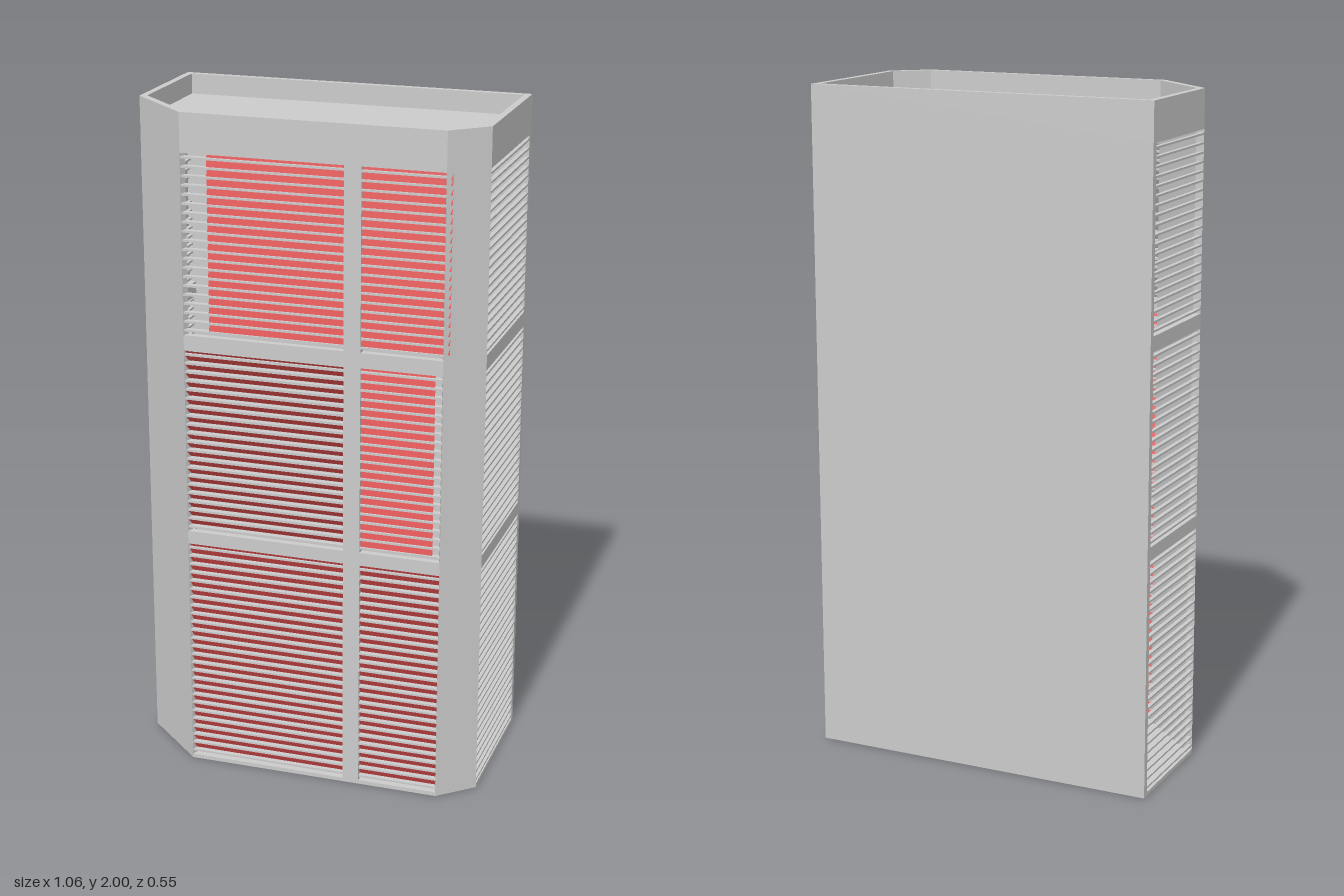
import * as THREE from 'three';

const grey = new THREE.MeshStandardMaterial({ color: 0xcccccc, flatShading: true });
const red = new THREE.MeshStandardMaterial({ color: 0xdd4c4c, flatShading: true, side: THREE.DoubleSide });

// Footprint corners as [x, z]: back right, side right, front right, front left, side left, back left
const plan = [[-0.53, -0.275], [-0.53, 0.1], [-0.34, 0.275], [0.43, 0.275], [0.53, 0.185], [0.53, -0.275]];
const inner = [[-0.51, -0.255], [-0.51, 0.09], [-0.332, 0.255], [0.422, 0.255], [0.51, 0.176], [0.51, -0.255]];
const bays = [[0.012, 0.71], [0.75, 1.31], [1.355, 1.885]];
const pitch = 0.0265;

// Horizontal prism from a plan outline, with an optional hole
function prism(outline, hole, y0, y1) {
  const points = (list) => list.map(([x, z]) => new THREE.Vector2(x, -z));
  const shape = new THREE.Shape(points(outline));
  if (hole) shape.holes.push(new THREE.Path(points(hole)));
  const geo = new THREE.ExtrudeGeometry(shape, { depth: y1 - y0, bevelEnabled: false });
  return geo.rotateX(-Math.PI / 2).translate(0, y0, 0);
}

function add(parent, name, geo, material = grey) {
  const mesh = new THREE.Mesh(geo, material);
  mesh.name = name;
  parent.add(mesh);
  return mesh;
}

function box(parent, name, [x0, x1], [y0, y1], [z0, z1], material) {
  const mesh = add(parent, name, new THREE.BoxGeometry(x1 - x0, y1 - y0, z1 - z0), material);
  mesh.position.set((x0 + x1) / 2, (y0 + y1) / 2, (z0 + z1) / 2);
  return mesh;
}

// Evenly spaced heights within one bay
function heights([y0, y1]) {
  const n = Math.round((y1 - y0) / pitch);
  return Array.from({ length: n }, (_, i) => y0 + ((i + 0.5) * (y1 - y0)) / n);
}

export function createModel() {
  const model = new THREE.Group();
  model.name = 'slattedCabinet';

  // Base, roof and the rings that tie the frame together
  add(model, 'base', prism(plan, null, 0, 0.012));
  add(model, 'roof', prism(inner, null, 1.89, 1.94));
  add(model, 'topBand', prism(plan, inner, 1.885, 2));
  add(model, 'lowerBand', prism(plan, inner, 0.71, 0.75));
  add(model, 'upperBand', prism(plan, inner, 1.31, 1.355));

  // Solid back wall, chamfered corner panels and front mullion
  box(model, 'backWall', [-0.53, 0.53], [0.012, 1.885], [-0.275, -0.255]);
  const corner = (a, b) => [plan[a], plan[b], inner[b], inner[a]];
  add(model, 'rightCornerPanel', prism(corner(1, 2), null, 0.012, 1.885));
  add(model, 'leftCornerPanel', prism(corner(3, 4), null, 0.012, 1.885));
  box(model, 'mullion', [0.14, 0.19], [0.012, 1.885], [0.25, 0.275]);

  // Thin grey slats over the front and both open sides
  const slats = new THREE.Group();
  slats.name = 'slats';
  model.add(slats);
  for (const bay of bays) {
    for (const y of heights(bay)) {
      const span = [y - 0.003, y + 0.003];
      box(slats, 'frontSlat', [-0.34, 0.43], span, [0.255, 0.273]);
      box(slats, 'rightSlat', [-0.53, -0.518], span, [-0.255, 0.1]);
      box(slats, 'leftSlat', [0.518, 0.53], span, [-0.255, 0.185]);
    }
  }

  // Red blinds behind the front slats: bay, x range and tilt of the strips
  const blinds = [
    [0, -0.34, 0.14, 0.5], [0, 0.19, 0.43, 0.5],
    [1, -0.34, 0.14, 0.65], [1, 0.19, 0.405, -0.3],
    [2, -0.265, 0.14, -0.3], [2, 0.19, 0.445, -0.3],
  ];
  for (const [bay, x0, x1, tilt] of blinds) {
    const blind = new THREE.Group();
    blind.name = 'blind';
    model.add(blind);
    for (const y of heights(bays[bay])) {
      const mid = Math.min(y + pitch / 2, bays[bay][1] - 0.012);
      const strip = add(blind, 'blindStrip', new THREE.PlaneGeometry(x1 - x0, 0.021), red);
      strip.position.set((x0 + x1) / 2, mid, 0.264);
      strip.rotation.x = tilt;
    }
  }
  return model;
}
